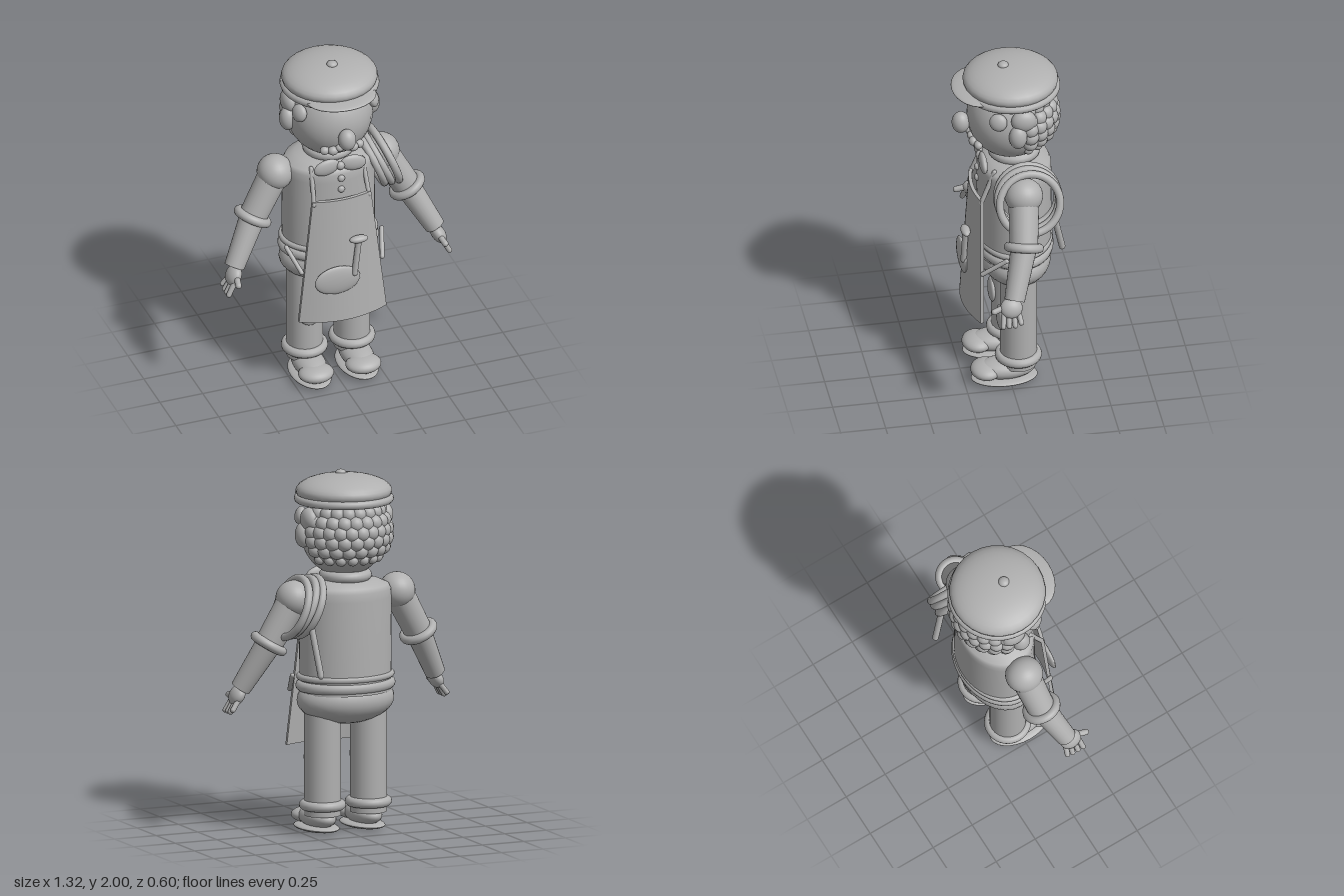
import * as THREE from 'three';

export function createModel() {
  const model = new THREE.Group();
  const clay = new THREE.MeshStandardMaterial({ color: 0xb0b0b0 });
  clay.name = 'clay grey';
  const V = (x, y, z) => new THREE.Vector3(x, y, z);
  const UP = V(0, 1, 0);
  const ball = new THREE.SphereGeometry(1, 28, 18);

  const add = (name, geo, pos = [0, 0, 0], rot = [0, 0, 0], scale = [1, 1, 1]) => {
    const mesh = new THREE.Mesh(geo, clay);
    mesh.name = name;
    mesh.position.set(...pos);
    mesh.rotation.set(...rot);
    mesh.scale.set(...scale);
    model.add(mesh);
    return mesh;
  };
  const blob = (name, pos, radii, rot) => add(name, ball, pos, rot, radii);
  // Tapered limb between two points
  const limb = (name, a, b, ra, rb = ra) => {
    const p = V(...a), q = V(...b), d = q.clone().sub(p);
    const mesh = add(name, new THREE.CylinderGeometry(rb, ra, d.length(), 24),
      p.clone().add(q).multiplyScalar(0.5).toArray());
    mesh.quaternion.setFromUnitVectors(UP, d.normalize());
    return mesh;
  };
  // Round-ended rod between two points
  const rod = (name, a, b, r) => {
    const p = V(...a), q = V(...b), d = q.clone().sub(p);
    const mesh = add(name, new THREE.CapsuleGeometry(r, d.length(), 6, 12),
      p.clone().add(q).multiplyScalar(0.5).toArray());
    mesh.quaternion.setFromUnitVectors(UP, d.normalize());
    return mesh;
  };
  // Ring whose axis follows a direction
  const ring = (name, pos, axis, R, t) => {
    const mesh = add(name, new THREE.TorusGeometry(R, t, 12, 40), pos);
    mesh.quaternion.setFromUnitVectors(V(0, 0, 1), V(...axis).normalize());
    return mesh;
  };
  const bodyZ = -0.05, headZ = -0.03;

  // Torso, hips, belt and collar
  const profile = [[0.26, 0.78], [0.262, 1.0], [0.26, 1.3], [0.258, 1.345], [0.245, 1.37],
    [0.19, 1.395], [0.12, 1.41], [0, 1.415]].map(p => new THREE.Vector2(...p));
  add('torso', new THREE.LatheGeometry(profile, 48), [0, 0, bodyZ], [0, 0, 0], [1, 1, 0.78]);
  blob('hips', [0, 0.74, bodyZ], [0.28, 0.14, 0.2]);
  [[0.87, 0.018, 0.262], [0.82, 0.03, 0.255]].forEach(([y, t, R]) =>
    add('belt', new THREE.TorusGeometry(R, t, 12, 48), [0, y, bodyZ], [Math.PI / 2, 0, 0], [1, 0.75, 1]));
  add('collar', new THREE.TorusGeometry(0.115, 0.03, 12, 36), [0, 1.425, bodyZ], [Math.PI / 2, 0, 0]);
  limb('neck', [0, 1.38, bodyZ], [0, 1.5, bodyZ], 0.11);

  // Head and face
  blob('head', [0, 1.66, headZ], [0.238, 0.245, 0.24]);
  blob('nose', [0, 1.63, 0.245], [0.05, 0.063, 0.05]);
  for (const s of [-1, 1]) {
    blob('eye', [s * 0.215, 1.75, 0.075], [0.03, 0.05, 0.05], [0, -s * 0.4, s * 0.25]);
    blob('ear', [s * 0.245, 1.66, headZ], [0.045, 0.07, 0.05]);
    blob('sideburn', [s * 0.225, 1.75, -0.065], [0.045, 0.065, 0.07]);
    [[0.022, 1.552, 0.192, 0.022], [0.058, 1.537, 0.185, 0.026], [0.1, 1.535, 0.165, 0.024]]
      .forEach(([x, y, z, r]) => blob('moustache', [s * x, y, z], [r * 1.15, r, r]));
  }

  // Curly hair in staggered rows around the back
  [[1.785, 9, 0.042], [1.735, 10, 0.045], [1.685, 11, 0.046], [1.635, 10, 0.046],
    [1.585, 9, 0.042], [1.53, 8, 0.03]].forEach(([y, n, r]) => {
    const R = Math.sqrt(0.23 ** 2 - (y - 1.66) ** 2);
    for (let i = 0; i < n; i++) {
      const a = ((i + 0.5) / n - 0.5) * 2.75;
      blob('curl', [Math.sin(a) * R, y, headZ - Math.cos(a) * R], [r, r, r]);
    }
  });

  // Cap
  blob('capCrown', [0, 1.89, headZ], [0.265, 0.092, 0.262]);
  add('capBand', new THREE.TorusGeometry(0.25, 0.023, 12, 48), [0, 1.847, headZ], [Math.PI / 2, 0, 0]);
  blob('capVisor', [0, 1.853, 0.15], [0.2, 0.022, 0.147]);
  blob('capButton', [0, 1.98, 0.01], [0.03, 0.02, 0.03]);

  // Bow tie and shirt buttons
  for (const s of [-1, 1]) {
    blob('bowTie', [s * 0.078, 1.4, 0.135], [0.075, 0.047, 0.022], [0, 0, -s * 0.2]);
  }
  blob('bowKnot', [0, 1.4, 0.14], [0.025, 0.025, 0.022]);
  for (const y of [1.325, 1.255]) blob('button', [0, y, 0.155], [0.02, 0.02, 0.015]);

  // Apron: flared panel bowed around the front
  const apron = new THREE.BoxGeometry(1, 1, 1, 24, 12, 1);
  const p = apron.attributes.position;
  for (let i = 0; i < p.count; i++) {
    const u = p.getX(i) * 2, t = 0.5 - p.getY(i), w = p.getZ(i);
    p.setXYZ(i, u * (0.17 + 0.085 * t), 1.21 - 0.75 * t,
      0.185 + 0.05 * t - (0.03 + 0.035 * t) * u * u + w * 0.02);
  }
  apron.computeVertexNormals();
  add('apron', apron);
  blob('apronPocket', [-0.05, 0.72, 0.23], [0.132, 0.087, 0.022]);
  rod('toolHandle', [0.047, 0.75, 0.238], [0.073, 0.95, 0.232], 0.017);
  blob('toolHead', [0.073, 0.96, 0.232], [0.053, 0.021, 0.026]);
  for (const s of [-1, 1]) {
    rod('apronStrap', [s * 0.16, 1.19, 0.16], [s * 0.15, 1.38, 0.085], 0.013);
    rod('apronTie', [s * 0.235, 0.77, 0.165], [s * 0.278, 0.87, 0.04], 0.013);
  }

  // Arms and hands
  for (const s of [-1, 1]) {
    const shoulder = [s * 0.31, 1.315, -0.05], elbow = [s * 0.45, 1.07, -0.025], wrist = [s * 0.585, 0.82, 0.05];
    blob('shoulder', shoulder, [0.1, 0.1, 0.105]);
    limb('upperArm', shoulder, elbow, 0.085, 0.078);
    ring('sleeveCuff', elbow, [s * 0.14, -0.25, 0.04], 0.084, 0.026);
    limb('forearm', elbow, wrist, 0.072, 0.056);
    blob('palm', [s * 0.597, 0.78, 0.07], [0.038, 0.058, 0.062], [0, 0, s * 0.5]);
    for (let i = 0; i < 4; i++) {
      const z = 0.032 + i * 0.027;
      rod('finger', [s * 0.608, 0.755, z], [s * 0.643, 0.692 + (i === 0 ? 0.015 : 0), z + (i - 1.5) * 0.006], 0.015);
    }
    rod('thumb', [s * 0.59, 0.79, 0.095], [s * 0.603, 0.768, 0.165], 0.017);
  }

  // Coiled rope over the left shoulder, with a hanging end
  [[0.25, 0], [0.29, 0.04], [0.335, -0.03]].forEach(([x, tilt]) =>
    ring('ropeCoil', [x, 1.272, -0.08], [0.92, 0.38 + tilt, tilt], 0.168, 0.022));
  rod('ropeEnd', [0.28, 1.18, -0.215], [0.25, 0.915, -0.273], 0.018);

  // Legs and shoes
  for (const s of [-1, 1]) {
    const x = s * 0.138;
    limb('leg', [x, 0.1, bodyZ], [x, 0.72, bodyZ], 0.101);
    add('trouserCuff', new THREE.TorusGeometry(0.102, 0.027, 12, 36), [x, 0.157, bodyZ], [Math.PI / 2, 0, 0]);
    blob('kneePatch', [x, 0.41, 0.05], [0.067, 0.072, 0.02]);
    blob('shoe', [x, 0.078, 0.02], [0.088, 0.06, 0.165]);
    blob('toeCap', [x, 0.075, 0.13], [0.1, 0.045, 0.085]);
    blob('sole', [x, 0.022, 0.028], [0.11, 0.022, 0.185]);
  }
  return model;
}
